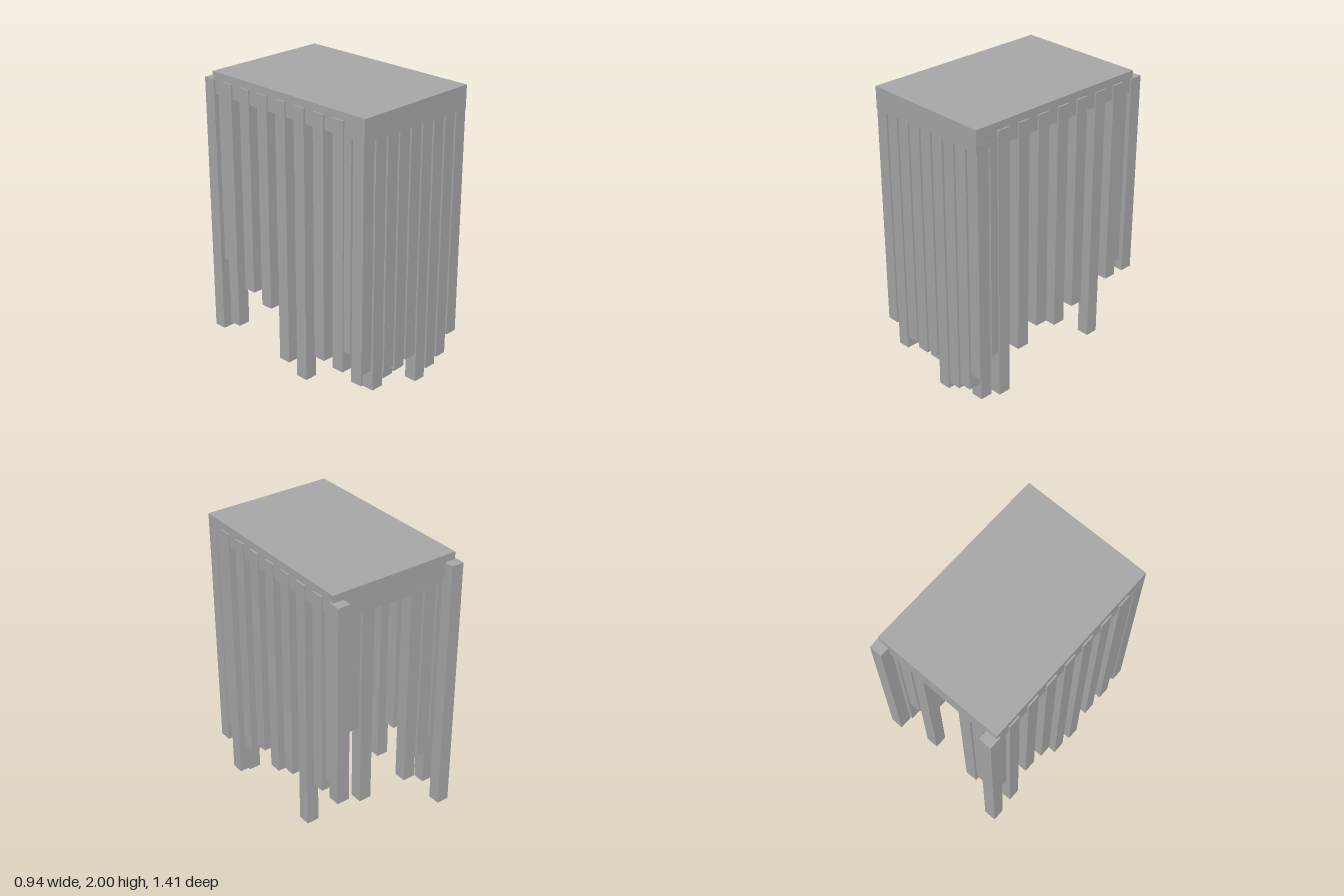
import * as THREE from 'three';

const POST = 0.088; // square section of every post

export function createModel() {
  const model = new THREE.Group();
  const grey = new THREE.MeshStandardMaterial({ color: 0xa6a6a6 });
  grey.name = 'grey';

  // box given by its limits on each axis
  function block(name, [x0, x1], [y0, y1], [z0, z1], parent = model) {
    const mesh = new THREE.Mesh(new THREE.BoxGeometry(x1 - x0, y1 - y0, z1 - z0), grey);
    mesh.name = name;
    mesh.position.set((x0 + x1) / 2, (y0 + y1) / 2, (z0 + z1) / 2);
    parent.add(mesh);
  }

  // row of hanging posts, each entry being [x, z, bottom]
  function row(name, top, posts) {
    const group = new THREE.Group();
    group.name = name;
    const h = POST / 2;
    for (const [x, z, bottom] of posts) {
      block('post', [x - h, x + h], [bottom, top], [z - h, z + h], group);
    }
    model.add(group);
  }

  // slab on top and the beam over the rear opening
  block('topSlab', [-0.46, 0.46], [1.85, 2], [-0.64, 0.705]);
  block('rearBeam', [-0.44, 0.44], [1.8, 1.9], [-0.622, -0.534]);

  // front posts, from right to left, in two layers
  const frontX = (i) => (i - 4) * 0.1045;
  const outer = [0.3, 0.145, 0.245, 0.21, 0.24, 0.03, 0.085, 0.13, 0.26];
  const inner = [0.41, 0.13, 0.3, 0.1, 0.11, 0.4, 0.22, 0, 0.4];
  row('frontPosts', 1.9, outer.map((b, i) => [frontX(i), 0.656, b]));
  row('innerFrontPosts', 1.9, inner.map((b, i) => [frontX(i), 0.555, b]));

  // side posts, from front to back
  const sideZ = (i) => 0.497 - i * 0.1655;
  const left = [0.07, 0.35, 0.455, 0.385, 0.46, 0.15, 0.535, 0.535];
  const right = [0.26, 0.275, 0.06, 0.125, 0.47, 0.53, 0.21, 0.13];
  row('leftPosts', 1.95, left.map((b, i) => [0.427, sideZ(i), b]));
  row('rightPosts', 1.95, right.map((b, i) => [-0.427, sideZ(i), b]));

  // rear posts on both sides of the opening
  const rear = [[-0.395, 0.66], [-0.29, 0.54], [-0.185, 0.385], [0.185, 0.385], [0.29, 0.98], [0.395, 0.61]];
  row('rearPosts', 1.9, rear.map(([x, b]) => [x, -0.578, b]));

  return model;
}
